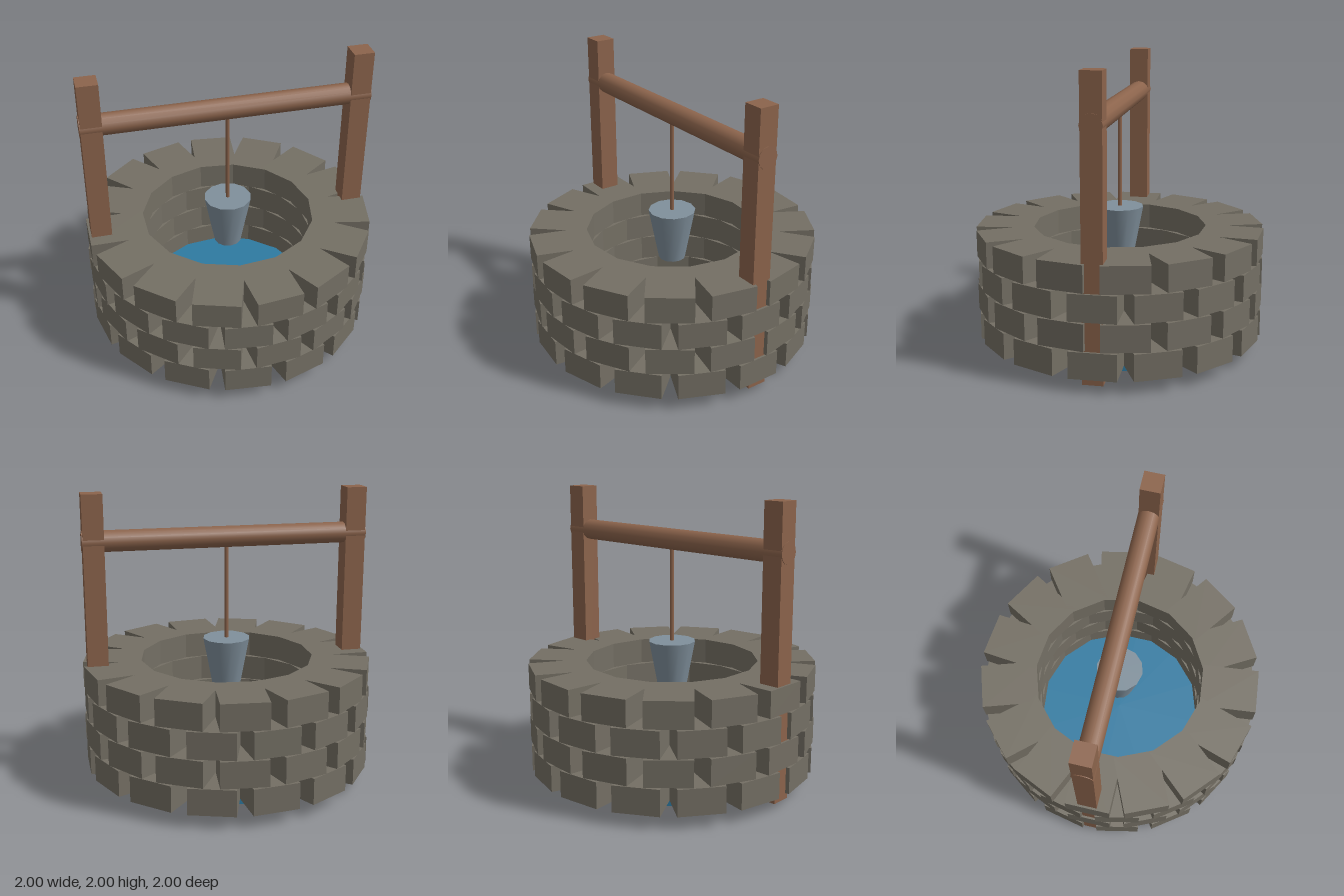
import * as THREE from 'three';

const paint = (name, color) => {
  const m = new THREE.MeshStandardMaterial({ color });
  m.name = name;
  return m;
};

export function createModel() {
  const stone = paint('stone', 0x746f64);
  const wood = paint('wood', 0x8c644c);
  const water = paint('water blue', 0x2e7aa1);
  const metal = paint('bucket metal', 0x80909c);

  const well = new THREE.Group();
  well.name = 'well';
  const add = (parent, name, geometry, material, x = 0, y = 0, z = 0) => {
    const mesh = new THREE.Mesh(geometry, material);
    mesh.name = name;
    mesh.position.set(x, y, z);
    parent.add(mesh);
    return mesh;
  };

  // Stone wall: four staggered rings of fifteen blocks
  const bricks = 15, rows = 4, step = (Math.PI * 2) / bricks;
  const inner = 0.59, outer = 0.99, height = 0.181, pitch = 0.189;
  const brick = new THREE.BoxGeometry(outer - inner, height, 0.312);
  brick.translate((inner + outer) / 2, height / 2, 0);
  for (let row = 0; row < rows; row++) {
    const ring = new THREE.Group();
    ring.name = 'stoneRing' + (row + 1);
    ring.position.y = 0.09 + row * pitch;
    for (let i = 0; i < bricks; i++) {
      add(ring, 'stoneBlock', brick, stone).rotation.y = (i + (row % 2) / 2) * step;
    }
    well.add(ring);
  }

  // Water at the bottom of the shaft
  add(well, 'water', new THREE.CylinderGeometry(0.655, 0.655, 0.13, 12), water, 0, 0.065);

  // Upright posts
  for (const [side, name] of [[1, 'leftPost'], [-1, 'rightPost']]) {
    add(well, name, new THREE.BoxGeometry(0.14, 1.95, 0.136), wood, side * 0.905, 1.025);
  }

  // Winding roller, its ends just showing through the posts
  const roller = add(well, 'roller', new THREE.CylinderGeometry(0.073, 0.073, 1.96, 12), wood, 0, 1.682);
  roller.rotation.z = Math.PI / 2;

  // Rope and hanging bucket
  add(well, 'rope', new THREE.CylinderGeometry(0.014, 0.014, 0.72, 8), wood, 0, 1.31);
  add(well, 'bucket', new THREE.CylinderGeometry(0.165, 0.095, 0.37, 12), metal, 0, 0.785);

  return well;
}
